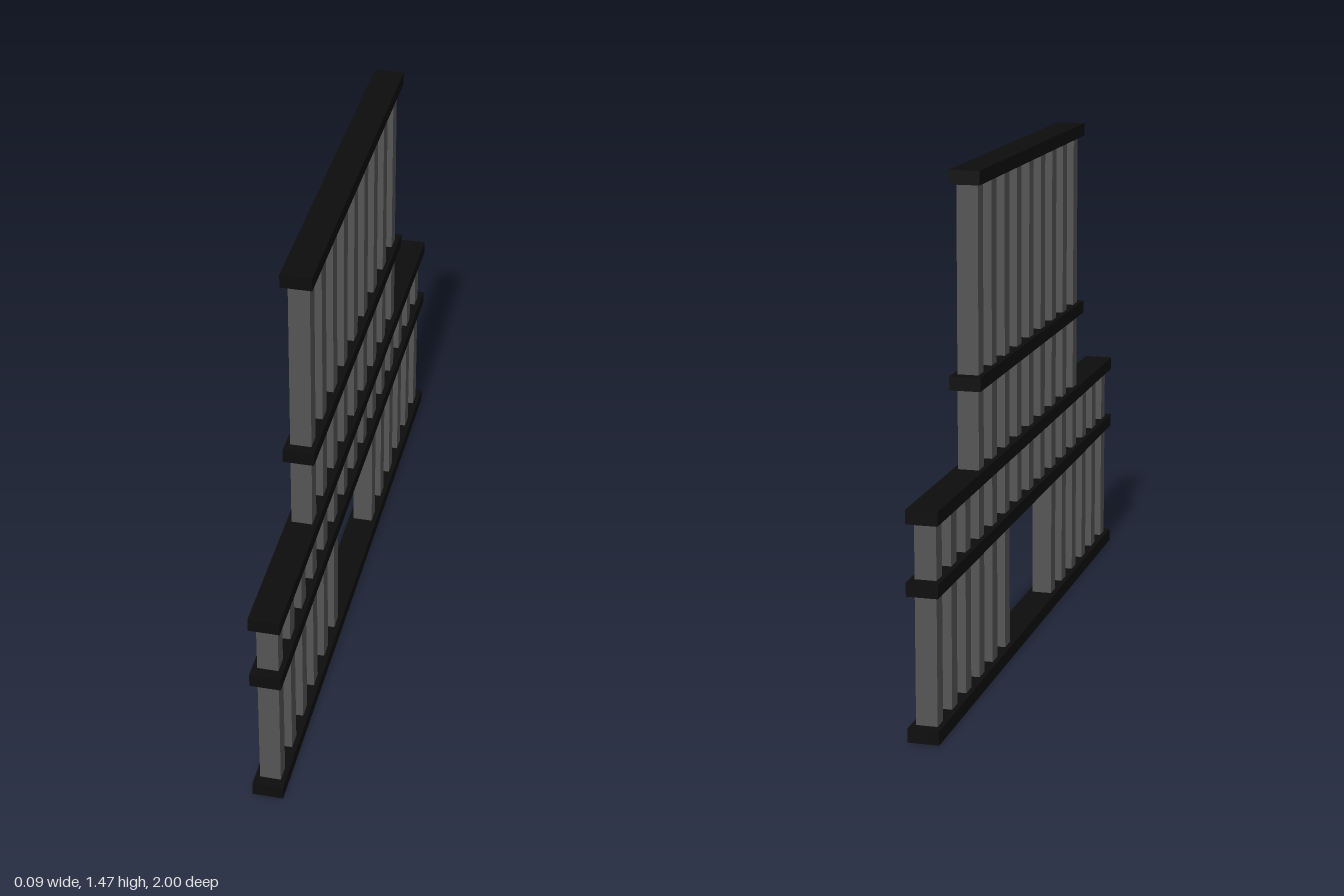
import * as THREE from 'three';

export function createModel() {
  const model = new THREE.Group();
  model.name = 'steppedRailing';

  const railBlack = new THREE.MeshStandardMaterial({ color: 0x0d0d0d });
  railBlack.name = 'rail black';
  const postGrey = new THREE.MeshStandardMaterial({ color: 0x555555 });
  postGrey.name = 'post grey';

  // A box spanning bottom to top, centred on x = 0
  function bar(name, width, bottom, top, depth, z, material) {
    const mesh = new THREE.Mesh(new THREE.BoxGeometry(width, top - bottom, depth), material);
    mesh.name = name;
    mesh.position.set(0, (bottom + top) / 2, z);
    model.add(mesh);
  }

  // Horizontal rails: [name, bottom height, length]
  const railHeight = 0.039;
  const rails = [
    ['baseRail', 0, 2],
    ['lowerMiddleRail', 0.404, 2],
    ['lowerTopRail', 0.6, 2],
    ['upperMiddleRail', 0.868, 1.19],
    ['upperTopRail', 1.433, 1.19],
  ];
  for (const [name, y, length] of rails) {
    bar(name, 0.088, y, y + railHeight, length, 0, railBlack);
  }

  // Upright posts: the middle three stop above the opening, the outer three a side stay low
  const spacing = 0.1346;
  for (let i = -7; i <= 7; i++) {
    const bottom = Math.abs(i) <= 1 ? 0.42 : 0.02;
    const top = Math.abs(i) <= 4 ? 1.45 : 0.62;
    bar('post', 0.06, bottom, top, 0.05, i * spacing, postGrey);
  }

  return model;
}
